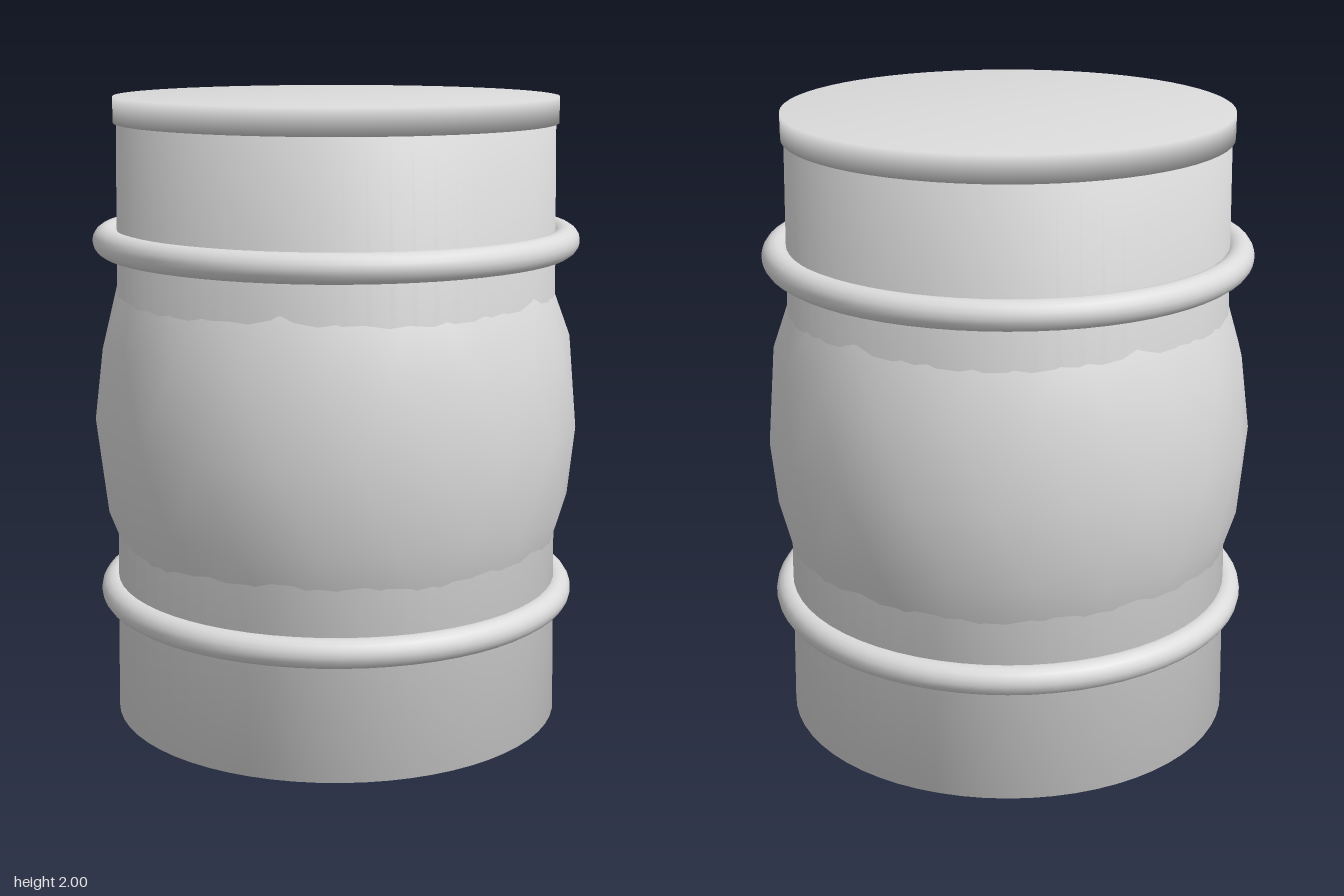
import * as THREE from 'three';

export function createModel() {
  const model = new THREE.Group();
  model.name = 'barrel';
  const paleGrey = new THREE.MeshStandardMaterial({ color: 0xdcdcdc });
  paleGrey.name = 'paleGrey';

  function add(name, geometry, y = 0) {
    const mesh = new THREE.Mesh(geometry, paleGrey);
    mesh.name = name;
    mesh.position.y = y;
    model.add(mesh);
  }

  // Closed drum with softly shaded rims
  function drum(bottomRadius, topRadius, bottom, top) {
    const profile = [[0, bottom], [bottomRadius, bottom], [topRadius, top], [0, top]];
    return new THREE.LatheGeometry(profile.map(([r, y]) => new THREE.Vector2(r, y)), 64);
  }

  // Slightly tapered body and the lid
  add('body', drum(0.715, 0.68, 0.03, 1.94));
  add('lid', drum(0.69, 0.69, 1.92, 2));

  // Bulging belly: a stretched icosphere standing on one of its corners
  const belly = new THREE.IcosahedronGeometry(1, 3);
  belly.rotateX(-Math.atan((1 + Math.sqrt(5)) / 2));
  belly.rotateY(Math.PI / 2);
  belly.scale(0.768, 0.985, 0.768);
  add('belly', belly, 0.985);

  // Round hoops
  for (const [name, y] of [['lowerHoop', 0.435], ['upperHoop', 1.56]]) {
    add(name, new THREE.TorusGeometry(0.717, 0.045, 16, 64).rotateX(Math.PI / 2), y);
  }
  return model;
}
